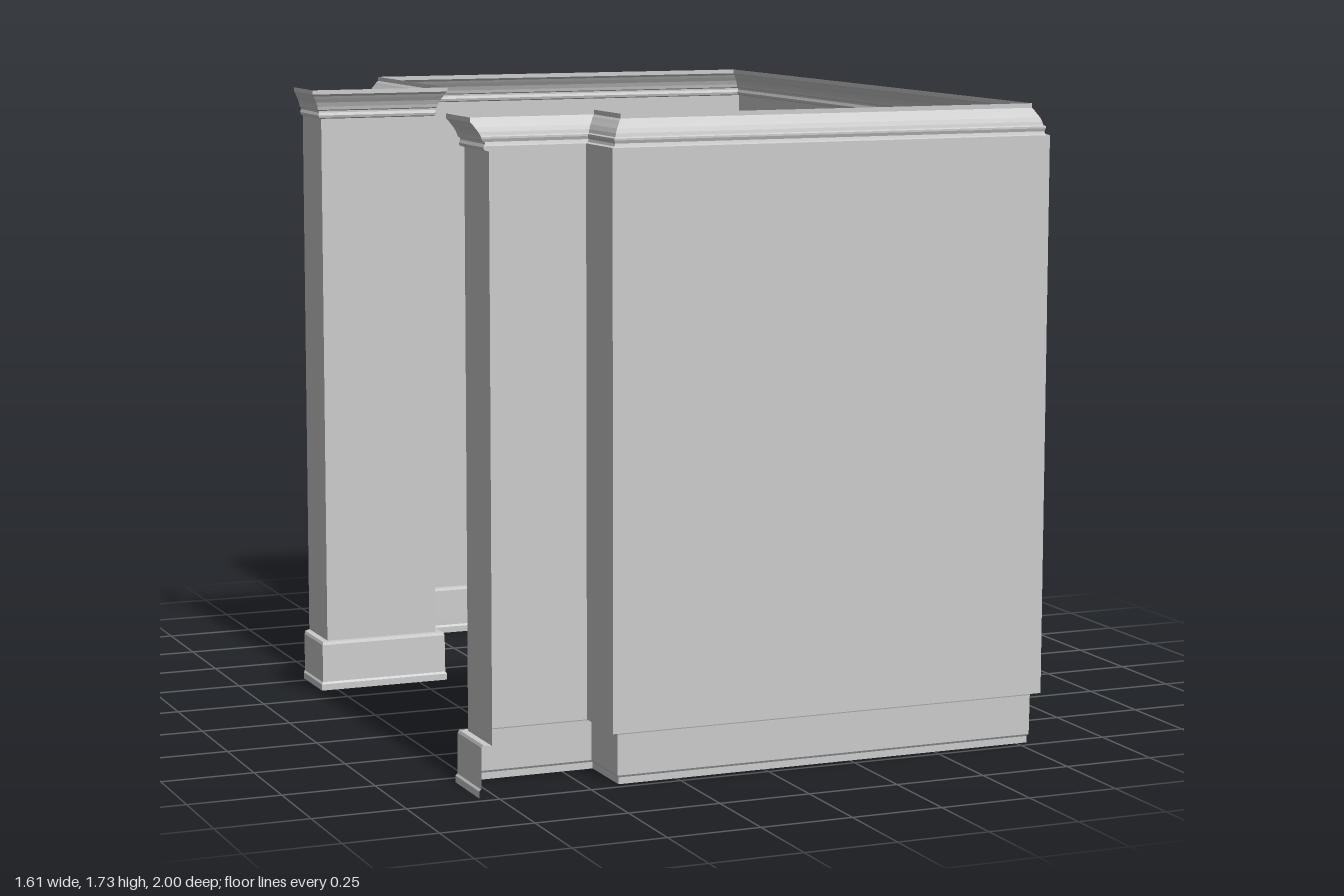
import * as THREE from 'three';

// Wall line in plan (x, z); the room lies to the right-hand side of travel
const plan = [
  [-0.77, -0.55], [-0.77, -0.375], [-0.44, -0.375], [-0.44, -1], [0.806, -1],
  [0.806, 1], [-0.44, 1], [-0.44, 0.82], [-0.77, 0.82], [-0.77, 1],
];

// Profiles as (offset into the room, height)
const baseProfile = [[0.026, 0], [0.026, 0.018], [0.022, 0.024], [0.021, 0.132], [0.018, 0.14], [0, 0.14]];
const wallProfile = [[0, 0.14], [0, 1.645]];
const crownProfile = [
  [0, 1.645], [0.009, 1.648], [0.011, 1.655], [0.008, 1.663], [0.008, 1.668], [0.013, 1.671],
  [0.015, 1.68], [0.02, 1.692], [0.027, 1.703], [0.031, 1.71], [0.036, 1.716], [0.036, 1.728],
];

// Room-side normal of each wall run; the free ends are mitred for a return along x
const normals = plan.slice(1).map(([x, z], i) => {
  const dx = x - plan[i][0], dz = z - plan[i][1], len = Math.hypot(dx, dz);
  return [-dz / len, dx / len];
});
normals.unshift([0, 1]);
normals.push([0, -1]);

// All corners are square, so a mitre is the sum of the two neighbouring normals
const miter = plan.map((_, i) => [
  normals[i][0] + normals[i + 1][0],
  normals[i][1] + normals[i + 1][1],
]);

function sweep(name, profile, material) {
  const point = (i, [offset, y]) => [
    plan[i][0] + miter[i][0] * offset, y, plan[i][1] + miter[i][1] * offset,
  ];
  const positions = [];
  for (let i = 0; i < plan.length - 1; i++) {
    for (let j = 0; j < profile.length - 1; j++) {
      const a = point(i, profile[j]), b = point(i + 1, profile[j]);
      const c = point(i + 1, profile[j + 1]), d = point(i, profile[j + 1]);
      positions.push(...a, ...c, ...b, ...a, ...d, ...c);
    }
  }
  const geometry = new THREE.BufferGeometry();
  geometry.setAttribute('position', new THREE.Float32BufferAttribute(positions, 3));
  geometry.computeVertexNormals();
  const mesh = new THREE.Mesh(geometry, material);
  mesh.name = name;
  return mesh;
}

export function createModel() {
  const group = new THREE.Group();
  group.name = 'roomWalls';
  const material = new THREE.MeshStandardMaterial({ color: 0xcccccc, side: THREE.DoubleSide });
  group.add(
    sweep('baseboard', baseProfile, material),
    sweep('walls', wallProfile, material),
    sweep('crownMoulding', crownProfile, material),
  );
  return group;
}
